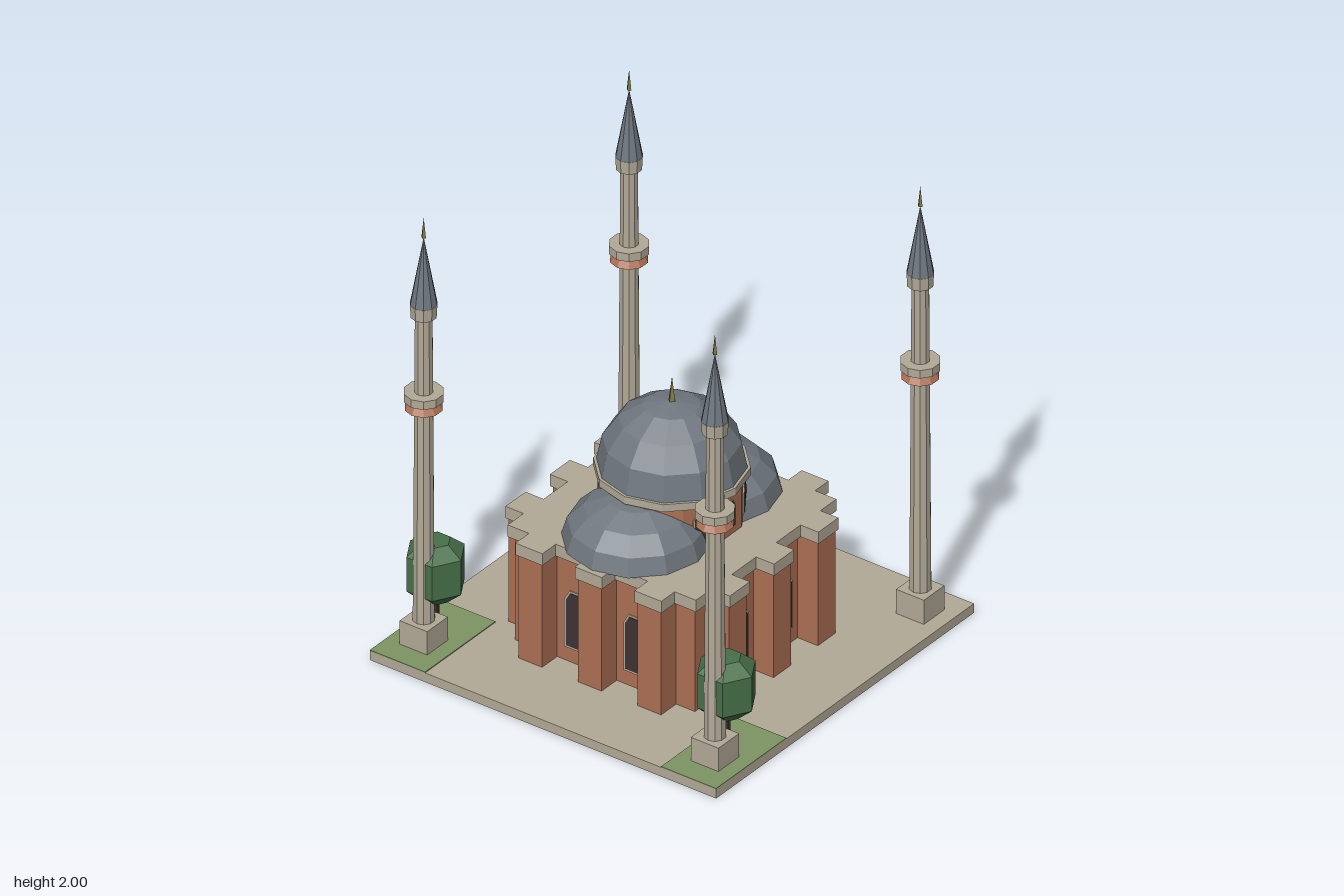
import * as THREE from 'three';

const mat = (name, color) => {
  const m = new THREE.MeshStandardMaterial({ color });
  m.name = name;
  return m;
};

export function createModel() {
  const stone = mat('stone', 0xb2aa98);
  const brick = mat('brick', 0xac7053);
  const slate = mat('slate', 0x70777f);
  const glass = mat('dark window', 0x3f3234);
  const grass = mat('grass', 0x7d9563);
  const leaf = mat('foliage', 0x47704a);
  const bark = mat('bark', 0x3d2e2a);
  const gilt = mat('old gold', 0x7f7a46);

  const model = new THREE.Group();
  model.name = 'domedBuilding';

  // Adds a faceted mesh
  const add = (parent, name, geometry, material, x = 0, y = 0, z = 0) => {
    const g = geometry.index ? geometry.toNonIndexed() : geometry;
    g.computeVertexNormals();
    const mesh = new THREE.Mesh(g, material);
    mesh.name = name;
    mesh.position.set(x, y, z);
    parent.add(mesh);
    return mesh;
  };
  const group = (name, parent = model) => {
    const g = new THREE.Group();
    g.name = name;
    parent.add(g);
    return g;
  };
  const box = (w, h, d) => new THREE.BoxGeometry(w, h, d);
  // Tapered prism between two heights
  const prism = (rBottom, rTop, y0, y1, sides) =>
    new THREE.CylinderGeometry(rTop, rBottom, y1 - y0, sides).translate(0, (y0 + y1) / 2, 0);
  const domeGeo = (r, h) =>
    new THREE.SphereGeometry(r, 12, 4, 0, Math.PI * 2, 0, Math.PI / 2).scale(1, h / r, 1);

  // Ground slab
  add(model, 'plinth', box(1.676, 0.042, 1.676), stone, 0, 0.021, 0);

  // Square plan with three buttresses on each side
  const planGeo = (core, outer, half, y0, y1) => {
    const pts = [];
    for (let side = 0; side < 4; side++) {
      const run = [[-core, core]];
      for (const x of [-0.288, 0, 0.288]) {
        run.push([x - half, core], [x - half, outer], [x + half, outer], [x + half, core]);
      }
      for (let [x, y] of run) {
        for (let k = 0; k < side; k++) [x, y] = [y, -x];
        pts.push(new THREE.Vector2(x, y));
      }
    }
    return new THREE.ExtrudeGeometry(new THREE.Shape(pts), { depth: y1 - y0, bevelEnabled: false })
      .rotateX(-Math.PI / 2).translate(0, y0, 0);
  };
  add(model, 'walls', planGeo(0.436, 0.534, 0.057, 0.04, 0.52), brick);
  add(model, 'cornice', planGeo(0.456, 0.543, 0.065, 0.518, 0.572), stone);

  // Arched plate with a three-sided head
  const archGeo = (half, y0, spring, depth) => {
    const pts = [new THREE.Vector2(-half, y0), new THREE.Vector2(half, y0)];
    for (let i = 0; i <= 3; i++) {
      const a = (i * Math.PI) / 3;
      pts.push(new THREE.Vector2(half * Math.cos(a), spring + half * Math.sin(a)));
    }
    return new THREE.ExtrudeGeometry(new THREE.Shape(pts), { depth, bevelEnabled: false });
  };
  const addWindow = (parent, x, z, half, y0, spring, rim) => {
    add(parent, 'windowFrame', archGeo(half, y0, spring, 0.005), stone, x, 0, z);
    add(parent, 'windowPane', archGeo(half - rim, y0 + rim, spring, 0.008), glass, x, 0, z);
  };

  // Wall windows, two per side
  for (let side = 0; side < 4; side++) {
    const g = group('wallWindows');
    g.rotation.y = (side * Math.PI) / 2;
    for (const x of [-0.143, 0.143]) addWindow(g, x, 0.435, 0.051, 0.106, 0.325, 0.01);
  }

  // Drum with its ring of windows
  const drum = add(model, 'drum', prism(0.29, 0.29, 0.56, 0.77, 12), brick);
  drum.rotation.y = Math.PI / 12;
  for (let i = 0; i < 12; i++) {
    const g = group('drumWindow');
    g.rotation.y = (i * Math.PI) / 6;
    addWindow(g, 0, 0.2795, 0.032, 0.605, 0.702, 0.006);
  }
  add(model, 'drumCornice', prism(0.308, 0.308, 0.766, 0.8, 12), stone);

  // Domes and finial
  add(model, 'mainDome', domeGeo(0.296, 0.289), slate, 0, 0.8, 0);
  for (const s of [-1, 1]) add(model, 'sideDome', domeGeo(0.296, 0.2), slate, 0, 0.57, s * 0.228);
  add(model, 'mainFinial', prism(0.017, 0, 1.08, 1.197, 4), gilt);

  // Corner towers
  for (const sx of [-1, 1]) {
    for (const sz of [-1, 1]) {
      const t = group('tower');
      t.position.set(sx * 0.705, 0, sz * 0.667);
      add(t, 'towerBase', box(0.134, 0.112, 0.134), stone, 0, 0.097, 0);
      add(t, 'towerShaft', prism(0.045, 0.036, 0.15, 1.56, 10), stone);
      add(t, 'balconySkirt', prism(0.077, 0.053, 1.126, 1.165, 10), brick);
      add(t, 'balcony', prism(0.081, 0.081, 1.165, 1.202, 10), stone);
      add(t, 'towerCollar', prism(0.053, 0.056, 1.548, 1.605, 10), stone);
      add(t, 'towerSpire', prism(0.055, 0, 1.605, 1.91, 10), slate);
      add(t, 'towerFinial', prism(0.011, 0, 1.908, 2, 4), gilt);
    }
  }

  // Lawns and trees at the front corners
  const crown = [[0, 0.207], [0.055, 0.21], [0.123, 0.271], [0.123, 0.428], [0.062, 0.477], [0, 0.48]]
    .map(([r, y]) => new THREE.Vector2(r, y));
  for (const s of [-1, 1]) {
    add(model, 'lawn', box(0.267, 0.006, 0.457), grass, s * 0.7045, 0.043, 0.6095);
    const tree = group('tree');
    tree.position.set(s * 0.704, 0, 0.591);
    add(tree, 'treeTrunk', prism(0.017, 0.015, 0.04, 0.23, 6), bark);
    add(tree, 'treeCrown', new THREE.LatheGeometry(crown, 6).rotateY(Math.PI / 2), leaf);
  }
  return model;
}
